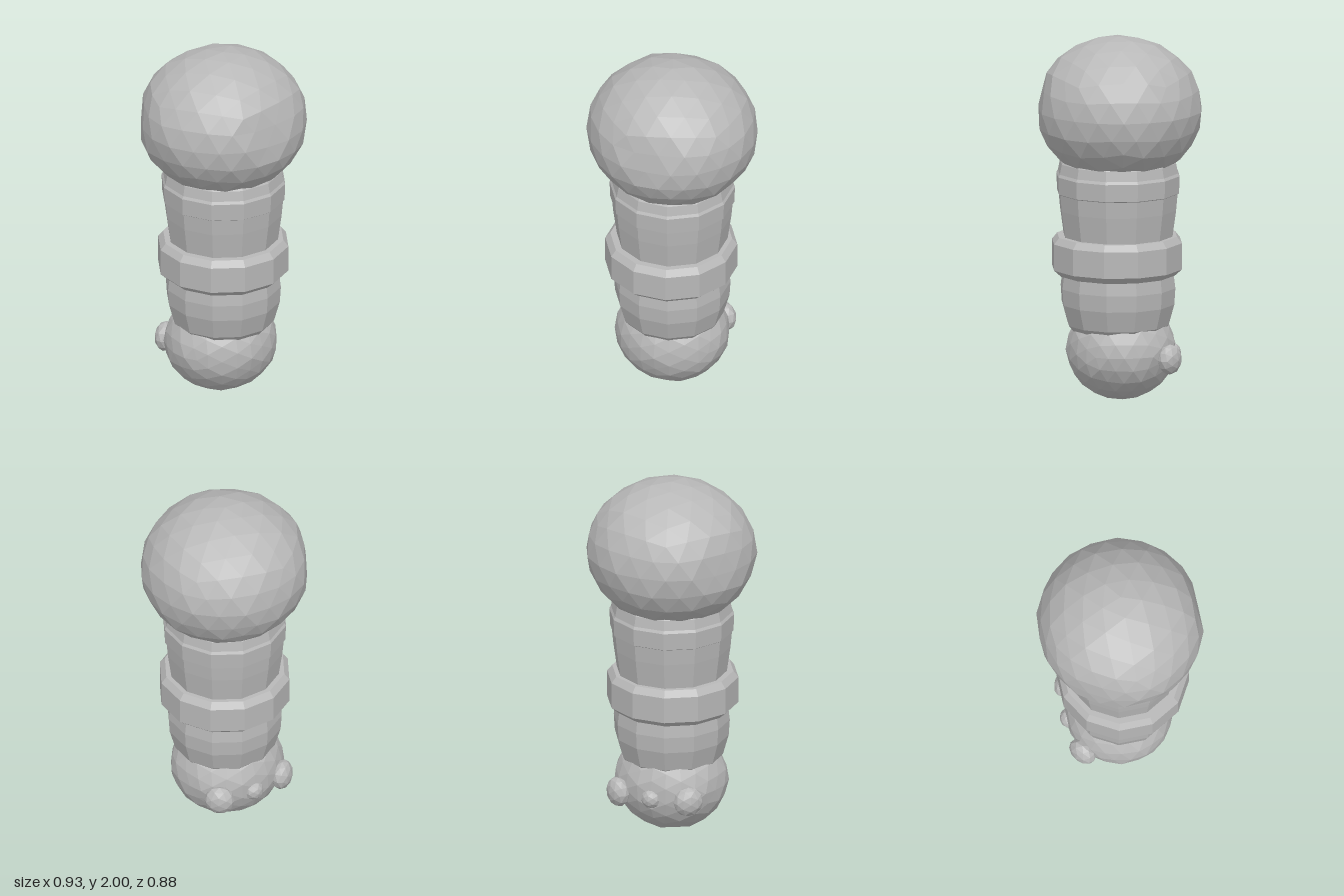
import * as THREE from 'three';

export function createModel() {
  const group = new THREE.Group();
  const grey = new THREE.MeshStandardMaterial({ color: 0xb8b8b8 });
  grey.name = 'plain grey';

  // Faceted mesh: every face keeps its own normal
  function add(name, geometry) {
    const flat = geometry.index ? geometry.toNonIndexed() : geometry;
    flat.computeVertexNormals();
    const mesh = new THREE.Mesh(flat, grey);
    mesh.name = name;
    group.add(mesh);
    return mesh;
  }

  // Slightly uneven icosphere, flattened by cutting planes [nx, ny, nz, d]
  function lump(rx, ry, rz, tilt, uneven, planes = []) {
    const g = new THREE.IcosahedronGeometry(1, 3);
    g.rotateZ(tilt);
    const p = g.attributes.position;
    const v = new THREE.Vector3();
    const n = new THREE.Vector3();
    for (let i = 0; i < p.count; i++) {
      v.fromBufferAttribute(p, i);
      const bump = 1 + uneven * Math.sin(7 * v.x + 2) * Math.sin(6 * v.y + 1) * Math.sin(8 * v.z);
      v.multiplyScalar(bump).multiply(n.set(rx, ry, rz));
      for (const [x, y, z, d] of planes) {
        n.set(x, y, z).normalize();
        const over = v.dot(n) - d;
        if (over > 0) v.addScaledVector(n, -over);
      }
      p.setXYZ(i, v.x, v.y, v.z);
    }
    return g;
  }

  const ring = (points) => new THREE.LatheGeometry(
    points.map(([r, y]) => new THREE.Vector2(r, y)), 12, Math.PI / 12);

  // Large rounded head
  add('head', lump(0.466, 0.4, 0.455, Math.atan(0.618), 0.015, [
    [0, 0.164, 0.986, 0.424],
    [-0.85, 0.1, -0.5, 0.44],
  ])).position.set(0, 1.6, 0);

  // Tapered shaft, with a shallow raised band under the head
  add('lowerShaft', ring([
    [0.25, 0.38], [0.28, 0.415], [0.312, 0.53], [0.318, 0.62], [0.308, 0.7], [0.3, 0.75],
  ])).position.z = 0.005;
  add('upperShaft', ring([
    [0.3, 0.85], [0.302, 0.905], [0.322, 1.05], [0.33, 1.14],
    [0.338, 1.145], [0.342, 1.24], [0.333, 1.255], [0.322, 1.31], [0.29, 1.36],
  ])).position.z = 0.005;

  // Thick bevelled collar
  add('collar', ring([
    [0.29, 0.69], [0.32, 0.69], [0.36, 0.725], [0.36, 0.87], [0.332, 0.905], [0.29, 0.905],
  ])).position.set(-0.004, 0, 0.01);

  // Rounded foot ball
  add('foot', lump(0.312, 0.275, 0.298, 0, 0.02)).position.set(-0.005, 0.274, -0.012);

  // Three small knobs across the back of the foot, flattened towards it
  for (const [name, x, z, r, depth] of [
    ['leftKnob', 0.205, -0.265, 0.083, 0.056],
    ['middleKnob', 0, -0.29, 0.055, 0.048],
    ['rightKnob', -0.205, -0.255, 0.083, 0.056],
  ]) {
    const knob = add(name, new THREE.IcosahedronGeometry(1, 1).scale(r, r, depth));
    knob.position.set(x, 0.25, z);
    knob.rotation.y = Math.atan2(x, z);
  }
  return group;
}
